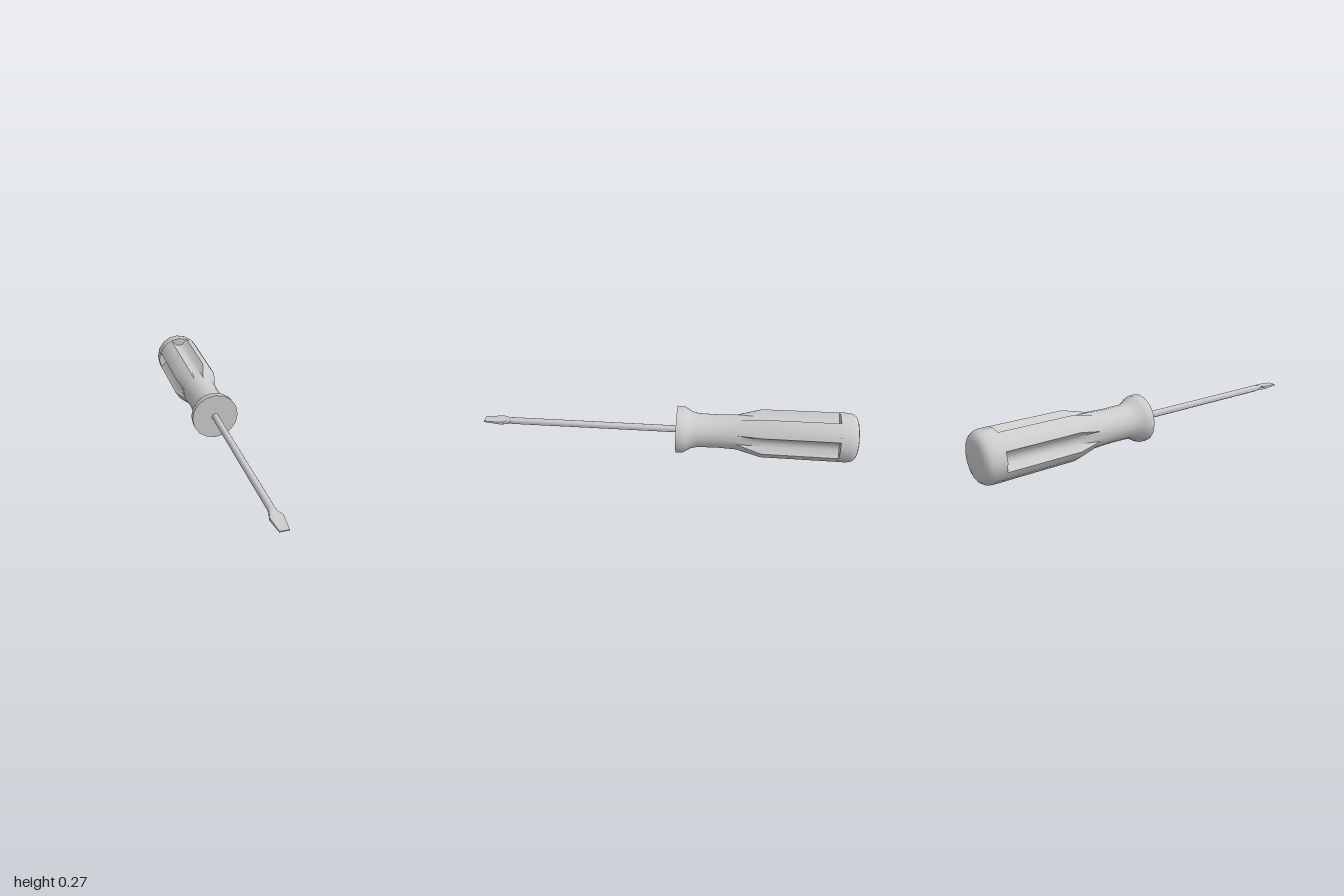
import * as THREE from 'three';
import { toCreasedNormals } from 'three/addons/utils/BufferGeometryUtils.js';

const AXIS_Y = 0.133;
const DEG = Math.PI / 180;

// Skin closed rings of [x, y, z] points running from +z to -z, with both ends capped.
function loft(rings) {
  const n = rings[0].length;
  const positions = rings.flat(2);
  const index = [];
  for (let r = 0; r < rings.length - 1; r++) {
    for (let j = 0; j < n; j++) {
      const k = (j + 1) % n;
      const a = r * n + j, b = r * n + k;
      index.push(a, a + n, b, b, a + n, b + n);
    }
  }
  const front = positions.length / 3, back = front + 1;
  const last = (rings.length - 1) * n;
  positions.push(0, 0, rings[0][0][2], 0, 0, rings[rings.length - 1][0][2]);
  for (let j = 0; j < n; j++) {
    const k = (j + 1) % n;
    index.push(front, j, k, back, last + k, last + j);
  }
  const geometry = new THREE.BufferGeometry();
  geometry.setAttribute('position', new THREE.Float32BufferAttribute(positions, 3));
  geometry.setIndex(index);
  return toCreasedNormals(geometry, 40 * DEG);
}

// Handle section: a 16-gon whose four sides may dip into a groove of the given floor radius.
function handleRing(z, radius, floor) {
  const chord = radius * Math.cos(11.25 * DEG);
  const quarter = [
    [0, floor ?? radius],
    [11.25, floor ? floor * 1.06 : chord],
    [22.5, radius],
    [45, radius],
    [67.5, radius],
    [78.75, floor ? floor * 1.06 : chord],
  ];
  const ring = [];
  for (let q = 0; q < 4; q++) {
    for (const [angle, r] of quarter) {
      const t = (angle + q * 90) * DEG;
      ring.push([r * Math.cos(t), r * Math.sin(t), z]);
    }
  }
  return ring;
}

// Shaft section: round, or squared off to a flat blade.
function shaftRing(z, halfWidth, halfHeight, square) {
  const ring = [];
  for (let j = 0; j < 12; j++) {
    const t = (j + 0.5) * 30 * DEG;
    const c = Math.cos(t), s = Math.sin(t);
    const m = square ? Math.SQRT1_2 : 1;
    const x = THREE.MathUtils.clamp(c, -m, m) / m;
    const y = THREE.MathUtils.clamp(s, -m, m) / m;
    ring.push([x * halfWidth, y * halfHeight, z]);
  }
  return ring;
}

export function createModel() {
  const model = new THREE.Group();
  model.name = 'screwdriver';
  const material = new THREE.MeshStandardMaterial({ color: 0xcccccc });

  const add = (name, rings) => {
    const mesh = new THREE.Mesh(loft(rings), material);
    mesh.name = name;
    mesh.position.y = AXIS_Y;
    model.add(mesh);
  };

  // Flared collar, slim neck, four-lobed grip and rounded end cap
  add('handle', [
    [-0.052, 0.127],
    [-0.09, 0.125],
    [-0.105, 0.116],
    [-0.13, 0.101],
    [-0.165, 0.092],
    [-0.27, 0.09],
    [-0.37, 0.094],
    [-0.5, 0.129, 0.087],
    [-0.9, 0.132, 0.087],
    [-0.9, 0.133],
    [-0.95, 0.132],
    [-0.975, 0.126],
    [-0.991, 0.112],
    [-1, 0.088],
  ].map((section) => handleRing(...section)));

  // Round shaft flattening into a tapered blade
  add('shaftAndBlade', [
    [1, 0.023, 0.003, true],
    [0.9, 0.033, 0.008, true],
    [0.865, 0.022, 0.014, false],
    [0.84, 0.0185, 0.0185, false],
    [-0.06, 0.0185, 0.0185, false],
  ].map((section) => shaftRing(...section)));

  return model;
}
